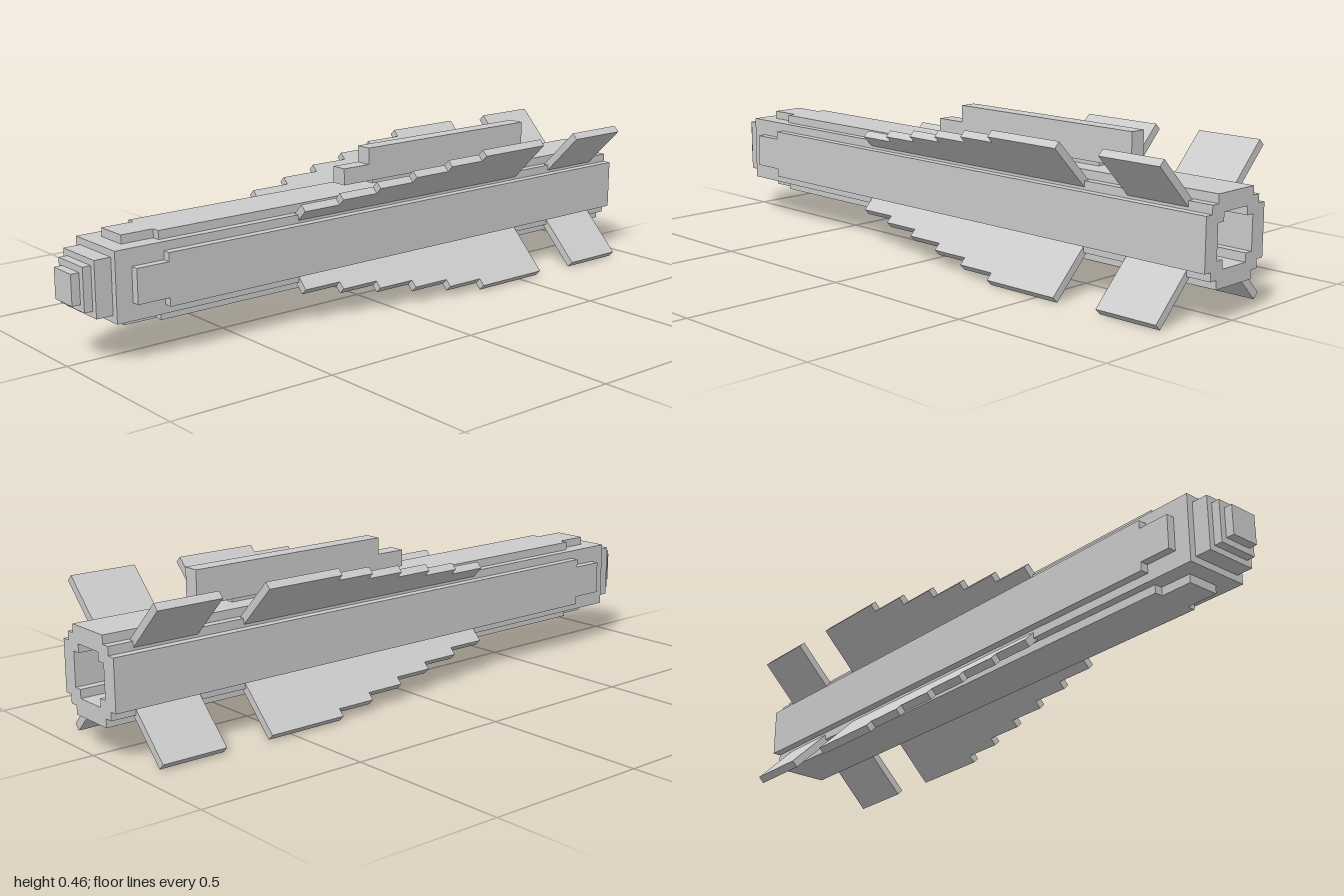
import * as THREE from 'three';

const CY = 0.2225; // height of the long axis
const mat = new THREE.MeshStandardMaterial({ color: 0xcccccc, flatShading: true });

// Box given by its limits on each axis
function box(parent, name, [x0, x1], [y0, y1], [z0, z1]) {
  const mesh = new THREE.Mesh(new THREE.BoxGeometry(x1 - x0, y1 - y0, z1 - z0), mat);
  mesh.position.set((x0 + x1) / 2, (y0 + y1) / 2, (z0 + z1) / 2);
  mesh.name = name;
  parent.add(mesh);
  return mesh;
}

// Square of half size a whose corners are notched in to b
function notchedSquare(a, b, PathType) {
  const corner = [[a, -b], [a, b], [b, b]];
  const points = [];
  for (let i = 0; i < 4; i++) {
    for (const [x, y] of corner) {
      points.push(new THREE.Vector2(x, y).rotateAround(new THREE.Vector2(), i * Math.PI / 2));
    }
  }
  return new PathType(points);
}

// Flat profile extruded along z
function extrude(parent, name, shape, z0, z1) {
  const geometry = new THREE.ExtrudeGeometry(shape, { depth: z1 - z0, bevelEnabled: false });
  const mesh = new THREE.Mesh(geometry, mat);
  mesh.position.z = z0;
  mesh.name = name;
  parent.add(mesh);
}

export function createModel() {
  const model = new THREE.Group();
  model.name = 'missile';
  const hull = new THREE.Group();
  hull.name = 'hull';
  hull.position.y = CY;
  model.add(hull);

  // Hollow body: square core with a raised panel on each side
  const outline = [];
  for (let i = 0; i < 4; i++) {
    for (const [x, y] of [[0.125, -0.075], [0.125, 0.075], [0.1, 0.075], [0.1, 0.1], [0.075, 0.1]]) {
      outline.push(new THREE.Vector2(x, y).rotateAround(new THREE.Vector2(), i * Math.PI / 2));
    }
  }
  const bodyShape = new THREE.Shape(outline);
  bodyShape.holes.push(notchedSquare(0.075, 0.05, THREE.Path));
  extrude(hull, 'bodyTube', bodyShape, -1, 0.75);

  // Solid front of the body and the stepped nose
  const steps = [[0.1, 0.75, 0.9], [0.08, 0.9, 0.95], [0.0625, 0.95, 0.975], [0.044, 0.975, 1]];
  steps.forEach(([h, z0, z1], i) => {
    box(hull, i ? 'noseStep' : 'bodyFront', [-h, h], [-h, h], [z0, z1]);
  });

  // Narrow panel tips and fins, repeated around the axis
  const finRadii = [0.175, 0.2, 0.225, 0.25, 0.275, 0.3];
  for (let i = 0; i < 4; i++) {
    const side = new THREE.Group();
    side.name = 'panelTip';
    side.rotation.z = i * Math.PI / 2;
    box(side, 'panelTip', [0.1, 0.125], [-0.05, 0.05], [0.75, 0.85]);
    hull.add(side);

    const fin = new THREE.Group();
    fin.name = 'fin';
    fin.rotation.z = Math.PI / 4 + i * Math.PI / 2;
    finRadii.forEach((r, k) => {
      const front = 0.3 - k * 0.125;
      const back = k === 5 ? -0.575 : front - 0.125;
      box(fin, 'mainFinStep', [0.1, r], [-0.012, 0.012], [back, front]);
    });
    box(fin, 'tailFin', [0.1, 0.3], [-0.012, 0.012], [-0.925, -0.725]);
    hull.add(fin);
  }

  // Pod on a thin pylon above the body
  const pod = new THREE.Group();
  pod.name = 'topPod';
  box(pod, 'pylon', [-0.012, 0.012], [0.345, 0.362], [-0.55, -0.05]);
  box(pod, 'podBody', [-0.025, 0.025], [0.36, 0.46], [-0.675, -0.025]);
  box(pod, 'podFront', [-0.025, 0.025], [0.36, 0.41], [-0.025, 0.07]);
  model.add(pod);

  return model;
}
